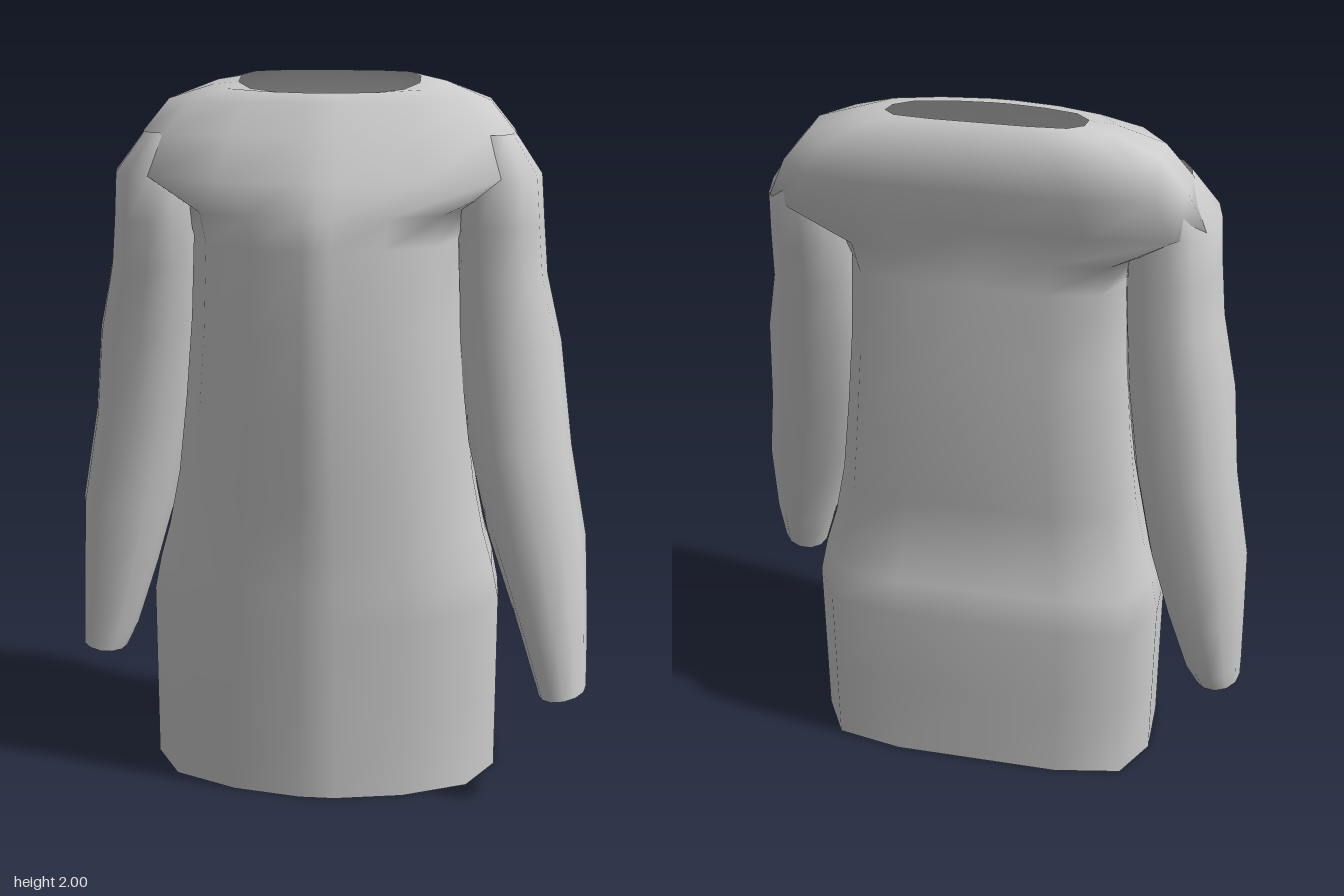
import * as THREE from 'three';

const fabric = new THREE.MeshStandardMaterial({ color: 0xcccccc, side: THREE.DoubleSide });

// Skin a smooth tube through closed rings of points, listed from bottom to top
function loft(name, rings) {
  const n = rings[0].length;
  const index = [];
  for (let r = 0; r < rings.length - 1; r++) {
    for (let i = 0; i < n; i++) {
      const a = r * n + i, b = r * n + (i + 1) % n;
      index.push(a, b, b + n, a, b + n, a + n);
    }
  }
  const geometry = new THREE.BufferGeometry();
  geometry.setAttribute('position', new THREE.Float32BufferAttribute(rings.flat(2), 3));
  geometry.setIndex(index);
  geometry.computeVertexNormals();
  const mesh = new THREE.Mesh(geometry, fabric);
  mesh.name = name;
  return mesh;
}

// Half outline of the body: rounded belly, flatter back (fractions of width and depth)
const half = [[0.1, 1], [0.48, 0.87], [0.84, 0.57], [1, 0.05], [1, -0.5], [0.86, -0.89], [0.48, -1]];
const outline = [[0, 1], ...half, [0, -1], ...half.map(([x, z]) => [-x, z]).reverse()];

function bodyRing([y, halfWidth, front, back, middle = 0, slope = 0]) {
  return outline.map(([u, v]) => {
    const z = middle + v * (v > 0 ? front - middle : middle - back);
    return [u * halfWidth, y + slope * (z - middle), z];
  });
}

// Oval sleeve ring between inner and outer x and back and front z
function sleeveRing([y, x0, x1, z0, z1, slope = 0]) {
  const ring = [];
  for (let i = 0; i < 12; i++) {
    const a = i / 12 * Math.PI * 2;
    const dx = Math.sin(a) * (x1 - x0) / 2;
    ring.push([(x0 + x1) / 2 + dx, y + slope * dx, (z0 + z1) / 2 + Math.cos(a) * (z1 - z0) / 2]);
  }
  return ring;
}

export function createModel() {
  const group = new THREE.Group();
  group.name = 'longSleevedDress';

  // Skirt, waist, chest, shoulders and open neck: y, half width, front z, back z, middle z, slope
  group.add(loft('dressBody', [
    [0, 0.5, 0.28, -0.32],
    [0.25, 0.5, 0.28, -0.32],
    [0.52, 0.5, 0.28, -0.32],
    [0.62, 0.48, 0.28, -0.3],
    [0.72, 0.452, 0.28, -0.262],
    [0.88, 0.42, 0.29, -0.265],
    [1.1, 0.395, 0.302, -0.272],
    [1.33, 0.375, 0.305, -0.265],
    [1.56, 0.365, 0.295, -0.258],
    [1.64, 0.39, 0.275, -0.25, -0.04],
    [1.73, 0.565, 0.235, -0.265, -0.08],
    [1.84, 0.515, 0.15, -0.288, -0.09],
    [1.925, 0.445, 0.08, -0.283, -0.1],
    [1.965, 0.32, 0.05, -0.25, -0.1, -0.1],
    [1.972, 0.25, 0.032, -0.225, -0.1, -0.2],
  ].map(bodyRing)));

  // Left sleeve swings forward: y, inner x, outer x, back z, front z, slope
  group.add(loft('leftSleeve', [
    [0.34, 0.615, 0.745, 0.16, 0.32, 0.25],
    [0.5, 0.56, 0.745, 0.09, 0.3, 0.1],
    [0.76, 0.465, 0.735, 0.02, 0.25],
    [1.0, 0.405, 0.69, -0.06, 0.195],
    [1.28, 0.37, 0.655, -0.13, 0.13],
    [1.46, 0.36, 0.612, -0.175, 0.105],
    [1.6, 0.355, 0.6, -0.215, 0.1],
    [1.73, 0.35, 0.59, -0.24, 0.1],
    [1.84, 0.38, 0.515, -0.22, 0.03],
  ].map(sleeveRing)));

  // Right sleeve hangs beside the body
  group.add(loft('rightSleeve', [
    [0.29, -0.75, -0.62, -0.2, -0.04, -0.15],
    [0.36, -0.75, -0.585, -0.23, -0.03, -0.1],
    [0.55, -0.745, -0.52, -0.26, -0.01],
    [0.75, -0.738, -0.462, -0.272, 0],
    [1.02, -0.69, -0.41, -0.28, 0.01],
    [1.27, -0.665, -0.375, -0.27, 0.035],
    [1.47, -0.62, -0.36, -0.255, 0.07],
    [1.6, -0.605, -0.355, -0.245, 0.09],
    [1.73, -0.595, -0.35, -0.24, 0.1],
    [1.84, -0.515, -0.38, -0.22, 0.03],
  ].map(sleeveRing)));

  return group;
}
